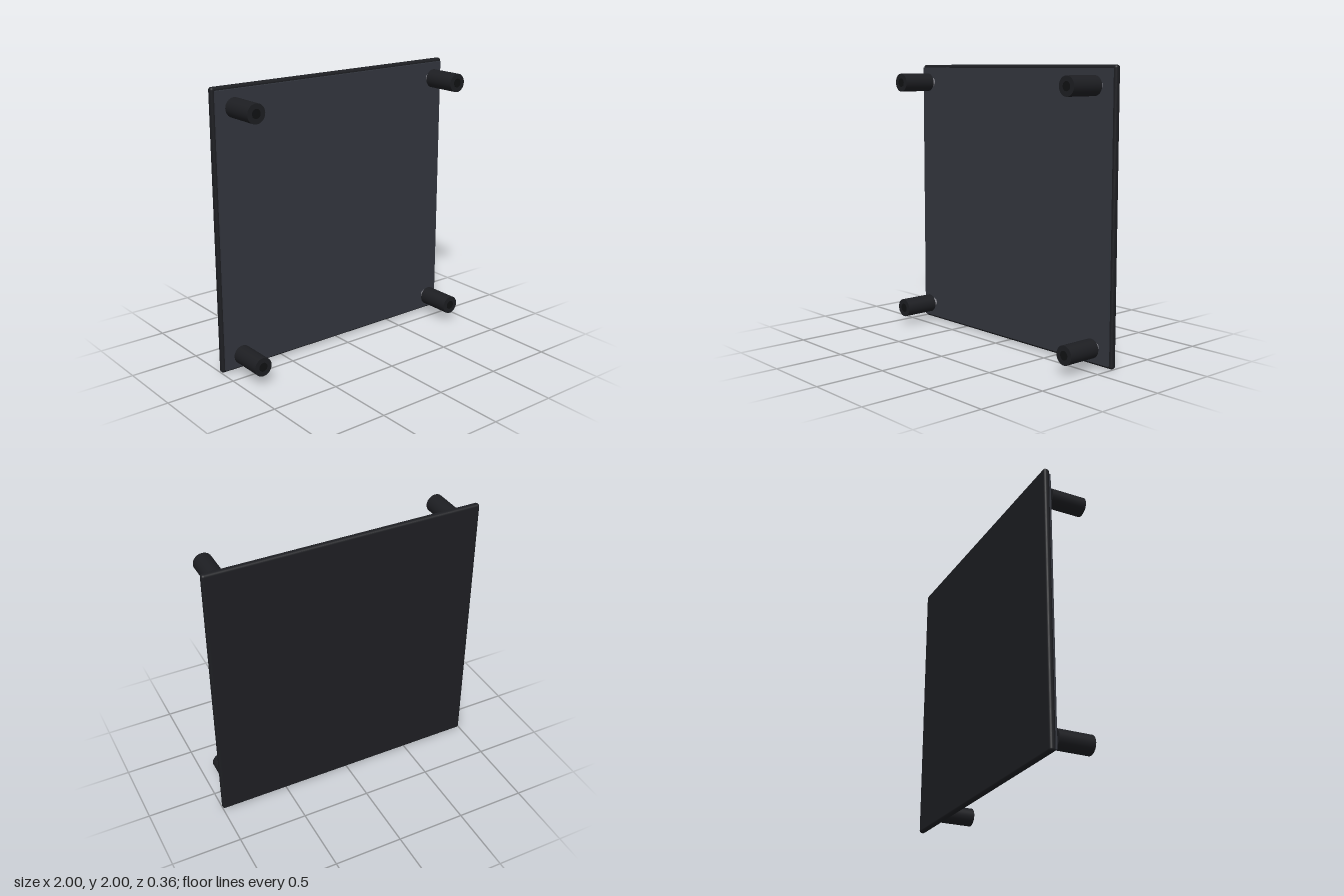
import * as THREE from 'three';
import { RoundedBoxGeometry } from 'three/addons/geometries/RoundedBoxGeometry.js';

const mat = (color) => new THREE.MeshStandardMaterial({ color });

export function createModel() {
  const model = new THREE.Group();
  model.name = 'panelWithStandoffs';
  const black = mat(0x1d1e22), slate = mat(0x33363e), steel = mat(0x85858c), dark = mat(0x101113);

  const add = (parent, name, geometry, material, x, y, z) => {
    const mesh = new THREE.Mesh(geometry, material);
    mesh.name = name;
    mesh.position.set(x, y, z);
    parent.add(mesh);
  };

  // Cylinder along z
  const rod = (radius, length) => new THREE.CylinderGeometry(radius, radius, length, 32).rotateX(Math.PI / 2);

  // Back plate with softened edges, and the thinner panel on its front
  add(model, 'backPlate', new RoundedBoxGeometry(2, 2, 0.044, 4, 0.018), black, 0, 1, -0.158);
  add(model, 'frontPanel', new THREE.BoxGeometry(1.955, 1.955, 0.04), slate, 0, 1, -0.138);

  // Four corner standoffs: steel stem, black sleeve, dark centre at the tip
  const stem = rod(0.033, 0.07), sleeve = rod(0.067, 0.256), tip = rod(0.032, 0.01);
  for (const [sx, side] of [[1, 'Left'], [-1, 'Right']]) {
    for (const [sy, level] of [[1, 'upper'], [-1, 'lower']]) {
      const post = new THREE.Group();
      post.name = `${level}${side}Standoff`;
      post.position.set(sx * 0.867, 1 + sy * 0.867, 0);
      add(post, 'stem', stem, steel, 0, 0, -0.1);
      add(post, 'sleeve', sleeve, black, 0, 0, 0.051);
      add(post, 'tipCentre', tip, dark, 0, 0, 0.1755);
      model.add(post);
    }
  }
  return model;
}
